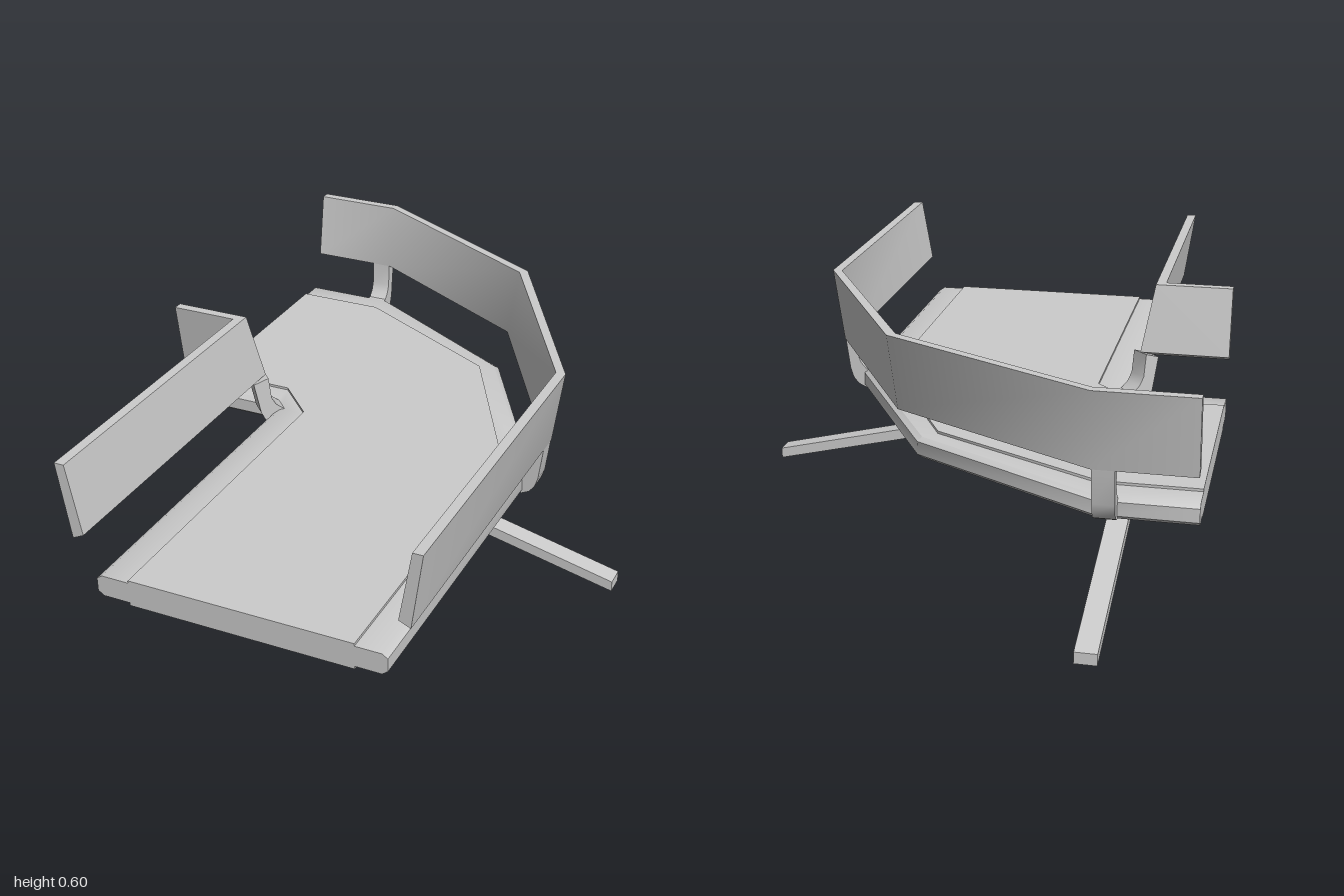
import * as THREE from 'three';
import { toCreasedNormals } from 'three/addons/utils/BufferGeometryUtils.js';

const material = new THREE.MeshStandardMaterial({ color: 0xcccccc });

function addMesh(parent, name, geometry) {
  const mesh = new THREE.Mesh(toCreasedNormals(geometry, 0.6), material);
  mesh.name = name;
  parent.add(mesh);
  return mesh;
}

const shapeOf = (points) => new THREE.Shape(points.map(([x, y]) => new THREE.Vector2(x, y)));

// Sweeps a convex profile [outward offset, height] along frames [x, z, outX, outZ].
function sweep(frames, profile, flip) {
  const rings = frames.map(([x, z, ox, oz]) => profile.map(([d, y]) => [x + ox * d, y, z + oz * d]));
  const positions = [];
  const tri = (a, b, c) => positions.push(...a, ...(flip ? c : b), ...(flip ? b : c));
  const n = profile.length;
  for (let i = 0; i < rings.length - 1; i++) {
    const r = rings[i], s = rings[i + 1];
    for (let a = 0; a < n; a++) {
      const b = (a + 1) % n;
      tri(r[a], s[a], s[b]);
      tri(r[a], s[b], r[b]);
    }
  }
  const first = rings[0], last = rings[rings.length - 1];
  for (let k = 1; k < n - 1; k++) {
    tri(first[0], first[k], first[k + 1]);
    tri(last[0], last[k + 1], last[k]);
  }
  const geometry = new THREE.BufferGeometry();
  geometry.setAttribute('position', new THREE.Float32BufferAttribute(positions, 3));
  return geometry;
}

// Side outline [outward, height] extruded to a bar centred on its own plane.
function bar(points, width) {
  const geometry = new THREE.ExtrudeGeometry(shapeOf(points), { depth: width, bevelEnabled: false });
  return geometry.translate(0, 0, -width / 2);
}

export function createModel() {
  const model = new THREE.Group();
  model.name = 'cornerWalkway';

  // Raised deck slab
  const deckOutline = [
    [0.305, 1], [0.305, 0.075], [0.05, -0.397], [-0.415, -0.645], [-0.67, -0.645],
    [-0.67, -0.035], [-0.415, -0.035], [-0.305, 0.075], [-0.305, 1],
  ];
  const deck = new THREE.ExtrudeGeometry(shapeOf(deckOutline.map(([x, z]) => [x, -z])), {
    depth: 0.073, bevelEnabled: false,
  });
  addMesh(model, 'deck', deck.rotateX(-Math.PI / 2).translate(0, 0.237, 0));

  // Edge lines of the deck, with the direction pointing away from it
  const outerEdge = [
    [0.39, 1, 1, 0], [0.39, 0.075, 1, 0], [0.095, -0.44, 0.68, -0.75],
    [-0.415, -0.73, 0, -1], [-0.67, -0.73, 0, -1],
  ];
  const innerEdge = [
    [-0.395, 1, -1, 0], [-0.395, 0.075, -1, 0], [-0.415, 0.055, 0, 1], [-0.67, 0.055, 0, 1],
  ];
  const innerGuardLine = [[-0.395, 1, -1, 0], [-0.395, 0.055, -1, 1], [-0.67, 0.055, 0, 1]];

  // Chamfered edge rails
  const railProfile = [
    [-0.09, 0.245], [-0.015, 0.245], [0, 0.257], [0, 0.293], [-0.015, 0.303], [-0.09, 0.303],
  ];
  addMesh(model, 'outerRail', sweep(outerEdge, railProfile, false));
  addMesh(model, 'innerRail', sweep(innerEdge, railProfile, true));

  // Guard panels leaning outward
  const guardProfile = [[0.026, 0.41], [0.057, 0.395], [0.087, 0.6], [0.06, 0.6]];
  addMesh(model, 'outerGuard', sweep(outerEdge, guardProfile, false));
  addMesh(model, 'innerGuard', sweep(innerGuardLine, guardProfile, true));

  // Curved brackets that carry the guards, and sloping legs under the deck
  const bracketOutline = [
    [-0.04, 0.247], [0, 0.247], [0.02, 0.257], [0.035, 0.275], [0.044, 0.302], [0.057, 0.396],
    [0.026, 0.41], [0.021, 0.345], [0.012, 0.322], [-0.005, 0.303], [-0.04, 0.3],
  ];
  const legOutline = [
    [-0.74, 0.25], [-0.61, 0.21], [0.27, 0], [0.27, 0.03], [-0.6, 0.24], [-0.63, 0.25],
  ];
  const supports = [
    { name: 'sideSupport', x: 0.39, z: 0.108, angle: 0, leg: true },
    { name: 'backSupport', x: -0.445, z: -0.73, angle: Math.PI / 2, leg: true },
    { name: 'cornerSupport', x: -0.395, z: 0.055, angle: Math.PI * 1.25, leg: false },
  ];
  for (const { name, x, z, angle, leg } of supports) {
    const support = new THREE.Group();
    support.name = name;
    support.position.set(x, 0, z);
    support.rotation.y = angle;
    const bracket = addMesh(support, 'guardBracket', bar(bracketOutline, 0.056));
    if (leg) addMesh(support, 'leg', bar(legOutline, 0.056));
    else bracket.scale.x = Math.SQRT2; // reaches into the mitred guard corner
    model.add(support);
  }

  return model;
}
